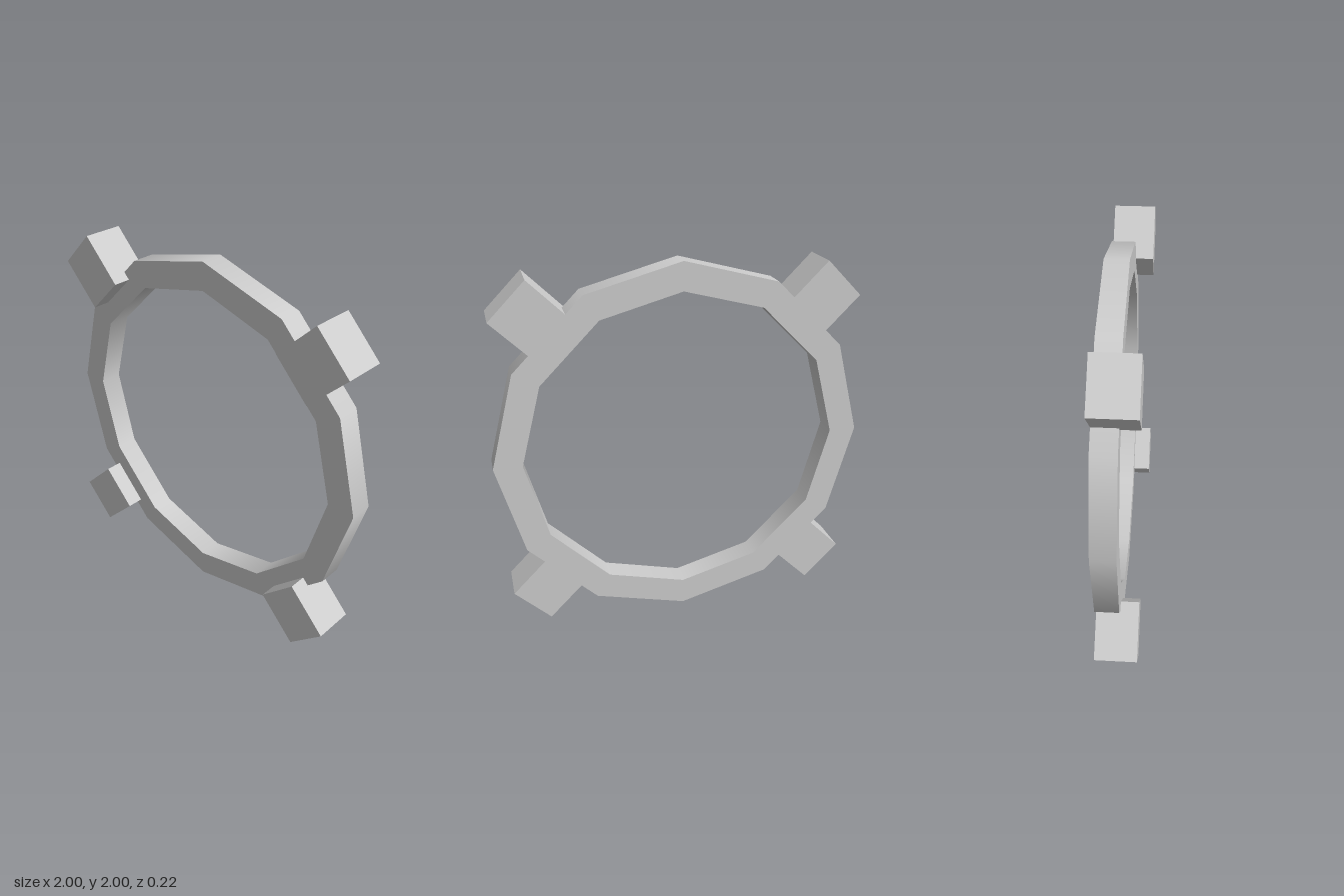
import * as THREE from 'three';
import { mergeGeometries } from 'three/addons/utils/BufferGeometryUtils.js';

const SIDES = 12;
const BACK = -0.11;

// Twelve-sided ring: each profile edge is its own lathe band, so walls shade smoothly and rims stay sharp
function ringGeometry(inner, outer, back, front) {
  const profile = [[inner, back], [outer, back], [outer, front], [inner, front]]
    .map(([r, h]) => new THREE.Vector2(r, h));
  const bands = profile.map((p, i) =>
    new THREE.LatheGeometry([p, profile[(i + 1) % profile.length]], SIDES));
  return mergeGeometries(bands).rotateX(Math.PI / 2);
}

export function createModel() {
  const model = new THREE.Group();
  model.name = 'ringWithBlocks';

  const grey = new THREE.MeshStandardMaterial({ color: 0xcccccc });
  grey.name = 'lightGrey';

  const ring = new THREE.Mesh(ringGeometry(0.85, 1, BACK, 0.015), grey);
  ring.name = 'ring';
  ring.position.y = 1;
  model.add(ring);

  // Four diagonal blocks, flush with the back of the ring and standing proud at the front
  const blockGeometry = new THREE.BoxGeometry(0.3, 0.27, 0.22);
  const names = ['upperLeftBlock', 'upperRightBlock', 'lowerRightBlock', 'lowerLeftBlock'];
  names.forEach((name, i) => {
    const angle = Math.PI / 4 + i * Math.PI / 2;
    const block = new THREE.Mesh(blockGeometry, grey);
    block.name = name;
    block.position.set(Math.cos(angle) * 1.068, 1 + Math.sin(angle) * 1.068, BACK + 0.11);
    block.rotation.z = angle;
    model.add(block);
  });

  return model;
}
